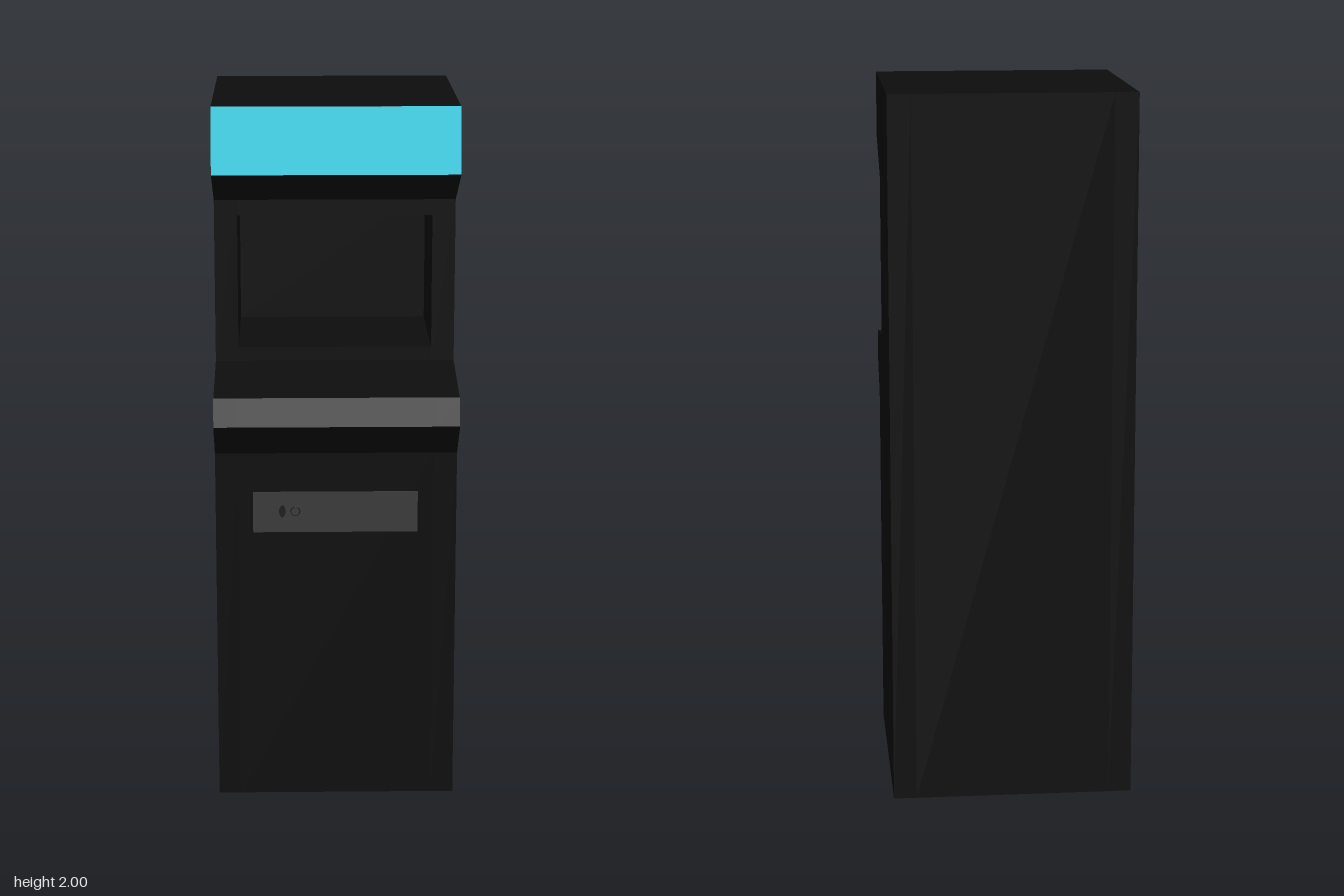
import * as THREE from 'three';

const HALF = 0.34; // half the cabinet width
const OPENING = 0.275; // half the screen opening width

export function createModel() {
  const group = new THREE.Group();
  const mat = (name, color) => new THREE.MeshStandardMaterial({ name, color });
  const black = mat('cabinet black', 0x0d0d0d);
  const cyan = mat('marquee cyan', 0x10c8de);
  const grey = mat('coin plate grey', 0x3a3a3a);
  const dark = mat('slot dark grey', 0x1c1c1c);

  const add = (name, geometry, material, x = 0, y = 0, z = 0) => {
    const mesh = new THREE.Mesh(geometry, material);
    mesh.name = name;
    mesh.position.set(x, y, z);
    group.add(mesh);
    return mesh;
  };

  // Side profile as [z, y], split around the screen face
  const upper = [[-0.397, 0], [-0.397, 2], [0.264, 2], [0.309, 1.82], [0.095, 1.715]];
  const lower = [[0.095, 1.25], [0.365, 1.21], [0.397, 1.135], [0.288, 1.03], [0.288, 0]];
  const recess = [[0.095, 1.67], [-0.3, 1.67], [-0.3, 1.29], [0.095, 1.29]];

  const slab = (points, x0, x1) => {
    const shape = new THREE.Shape(points.map(([z, y]) => new THREE.Vector2(z, y)));
    return new THREE.ExtrudeGeometry(shape, { depth: x1 - x0, bevelEnabled: false })
      .rotateY(-Math.PI / 2)
      .translate(x1, 0, 0);
  };

  // Cabinet: solid sides, and a middle hollowed out for the screen
  add('leftSide', slab([...upper, ...lower], OPENING, HALF), black);
  add('rightSide', slab([...upper, ...lower], -HALF, -OPENING), black);
  add('cabinetMiddle', slab([...upper, ...recess, ...lower], -OPENING, OPENING), black);

  // Screen at the back of the recess
  add('screen', new THREE.BoxGeometry(2 * OPENING, 0.38, 0.006), black, 0, 1.48, -0.297);

  // Sloping marquee over the full width
  const marquee = add('marquee', new THREE.PlaneGeometry(2 * HALF, Math.hypot(0.045, 0.18)),
    cyan, 0, 1.91, 0.2875);
  marquee.rotation.x = -Math.atan2(0.045, 0.18);

  // Coin plate with slot and return button
  add('coinPlate', new THREE.BoxGeometry(0.465, 0.118, 0.006), grey, -0.002, 0.858, 0.29);
  const slot = add('coinSlot', new THREE.CylinderGeometry(0.009, 0.009, 0.006, 20).rotateX(Math.PI / 2),
    dark, -0.152, 0.861, 0.294);
  slot.scale.y = 1.9;
  add('returnButtonRim', new THREE.TorusGeometry(0.012, 0.002, 8, 24), dark, -0.115, 0.861, 0.293);
  add('returnButton', new THREE.CylinderGeometry(0.011, 0.011, 0.008, 24).rotateX(Math.PI / 2),
    grey, -0.115, 0.861, 0.294);

  return group;
}
